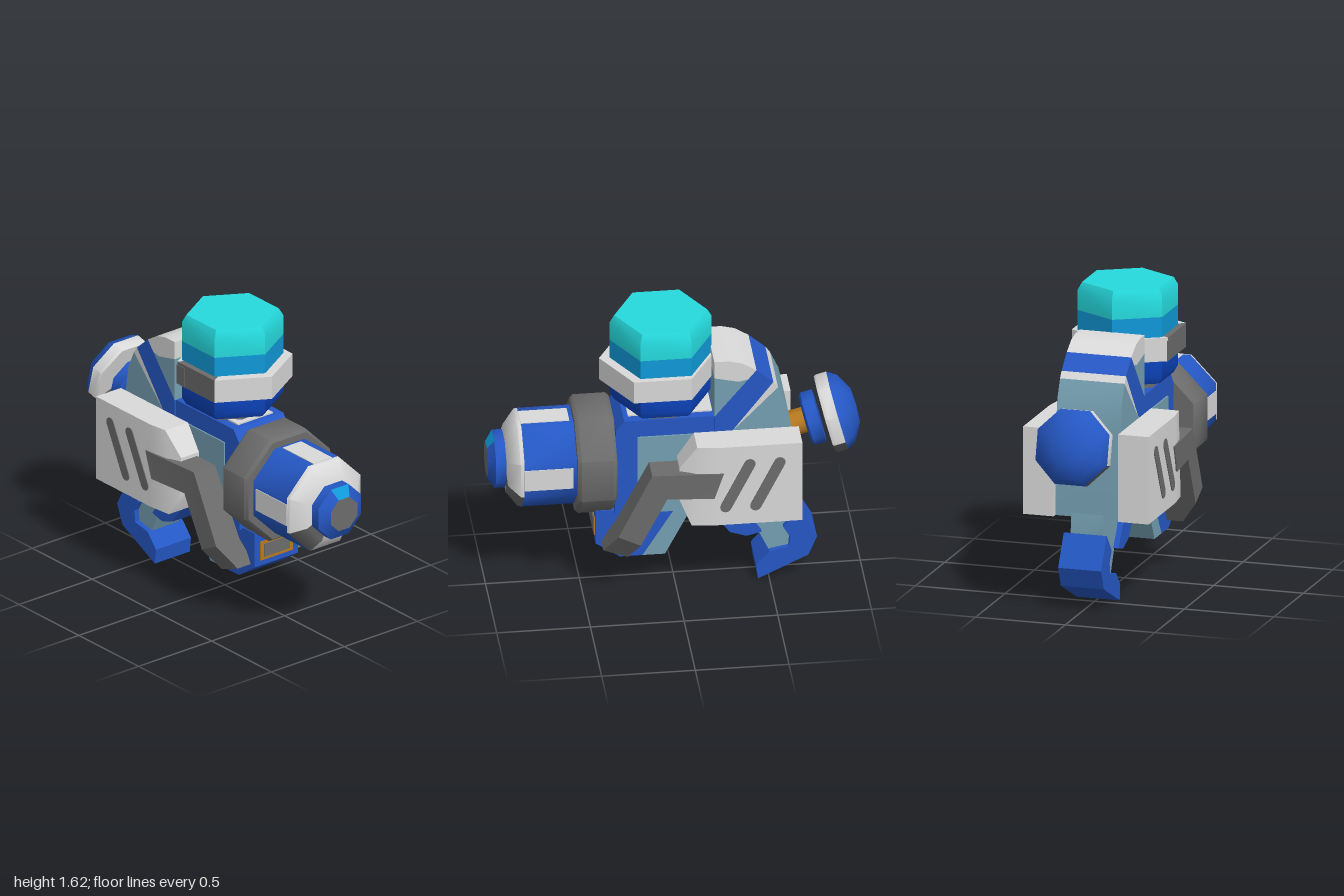
import * as THREE from 'three';
import { toCreasedNormals } from 'three/addons/utils/BufferGeometryUtils.js';

const mat = (name, color) => {
  const m = new THREE.MeshStandardMaterial({ color });
  m.name = name;
  return m;
};

export function createModel() {
  const root = new THREE.Group();
  root.name = 'blaster';
  const blue = mat('blue', 0x2558c6), royal = mat('royal blue', 0x0d45c0);
  const steel = mat('steel blue', 0x75a0b2), white = mat('white', 0xdadada);
  const gray = mat('dark gray', 0x6c6c6c), cyan = mat('cyan', 0x25dadd);
  const azure = mat('azure', 0x109ada), orange = mat('orange', 0xb87a20);

  const add = (name, geo, material, crease = 0.6) => {
    const mesh = new THREE.Mesh(toCreasedNormals(geo, crease), material);
    mesh.name = name;
    root.add(mesh);
    return mesh;
  };

  // Side outline (x, y) given depth from z0 to z1
  const slab = (name, material, pts, z0, z1) => {
    const shape = new THREE.Shape(pts.map(p => new THREE.Vector2(...p)));
    const geo = new THREE.ExtrudeGeometry(shape, { depth: z1 - z0, bevelEnabled: false });
    return add(name, geo.translate(0, 0, z0), material, 0.5);
  };

  const box = (name, material, w, h, d, x, y, z) =>
    add(name, new THREE.BoxGeometry(w, h, d).translate(x, y, z), material);

  // Prism turned about an axis; profile is [apothem, distance along axis];
  // "from" and "count" choose the facets
  const turned = (name, material, profile, sides, tilt, pos, from = 0, count = sides) => {
    const step = Math.PI * 2 / sides, k = 1 / Math.cos(step / 2);
    const pts = profile.map(([r, y]) => new THREE.Vector2(r * k, y));
    const geo = new THREE.LatheGeometry(pts, count, step * (from + 0.5), step * count);
    return add(name, geo.rotateZ(tilt).translate(...pos), material, 0.8);
  };

  // Four-sided loft; each section is [topX, topY, bottomX, bottomY, inner z, outer z]
  const loft = (name, material, sections, side) => {
    const pos = [], index = [];
    for (const [tx, ty, bx, by, zi, zo] of sections)
      pos.push(tx, ty, zi * side, tx, ty, zo * side, bx, by, zo * side, bx, by, zi * side);
    const quad = (a, b, c, d) =>
      side > 0 ? index.push(a, b, c, a, c, d) : index.push(a, c, b, a, d, c);
    const last = (sections.length - 1) * 4;
    for (let o = 0; o < last; o += 4)
      for (let j = 0; j < 4; j++) {
        const n = (j + 1) % 4;
        quad(o + j, o + n, o + 4 + n, o + 4 + j);
      }
    quad(0, 3, 2, 1);
    quad(last, last + 1, last + 2, last + 3);
    const geo = new THREE.BufferGeometry();
    geo.setAttribute('position', new THREE.Float32BufferAttribute(pos, 3));
    geo.setIndex(index);
    add(name, geo, material, 0.5);
  };

  // Rear hump, built from coloured slices
  const H = 0.18;
  slab('humpRear', steel, [[-0.62, 0.49], [-0.2, 0.49], [-0.2, 0.96], [-0.29, 0.96], [-0.54, 1.22],
    [-0.585, 1.12], [-0.61, 0.97]], -H, H);
  slab('humpTrim', white, [[-0.54, 1.22], [-0.29, 0.96], [-0.515, 1.255]], -H, H);
  slab('humpStripe', blue, [[-0.515, 1.255], [-0.29, 0.96], [-0.2, 0.96], [-0.2, 1.06],
    [-0.425, 1.335]], -H, H);
  slab('humpTop', white, [[-0.425, 1.335], [-0.38, 1.28], [-0.33, 1.27], [-0.2, 1.3], [-0.2, 1.4],
    [-0.28, 1.4], [-0.35, 1.382]], -H, H);
  slab('humpInset', steel, [[-0.38, 1.28], [-0.2, 1.06], [-0.2, 1.3], [-0.33, 1.27]], -H, H);

  // Main body with side panels and top plate
  slab('body', blue, [[-0.2, 0.49], [0.33, 0.49], [0.325, 1.0], [0.28, 1.06], [-0.2, 1.06]], -0.17, 0.17);
  for (const s of [1, -1]) box('bodyPanel', steel, 0.41, 0.47, 0.008, 0.005, 0.725, s * 0.174);
  box('topPlate', white, 0.45, 0.008, 0.24, 0.03, 1.064, 0);

  // Front grip with framed panel
  slab('gripRear', steel, [[-0.09, 0.5], [0.06, 0.21], [0.18, 0.21], [0.0, 0.5]], -0.15, 0.15);
  slab('grip', blue, [[0.0, 0.5], [0.18, 0.21], [0.3, 0.21], [0.43, 0.3], [0.43, 0.5]], -0.15, 0.15);
  box('gripFrame', orange, 0.006, 0.11, 0.22, 0.431, 0.385, 0);
  box('gripPlate', gray, 0.006, 0.075, 0.175, 0.434, 0.385, 0);

  // Underside block, rear leg and foot
  slab('underBlock', blue, [[-0.3, 0.52], [-0.46, 0.29], [-0.38, 0.27], [-0.29, 0.3], [-0.2, 0.42],
    [-0.2, 0.52]], -0.12, 0.12);
  slab('rearLeg', steel, [[-0.62, 0.51], [-0.65, 0.3], [-0.61, 0.18], [-0.5, 0.16], [-0.34, 0.51]], -0.09, 0.09);
  slab('foot', blue, [[-0.66, 0.41], [-0.755, 0.24], [-0.71, 0.13], [-0.44, 0], [-0.43, 0.085],
    [-0.5, 0.165], [-0.605, 0.185], [-0.61, 0.25], [-0.575, 0.31]], -0.12, 0.12);

  // Side boxes with slots, and bent arms
  for (const s of [1, -1]) {
    loft('sideBox', white, [
      [-0.65, 0.97, -0.65, 0.49, 0.18, 0.35],
      [-0.2, 0.97, -0.2, 0.49, 0.18, 0.35],
      [-0.09, 0.97, -0.06, 0.49, 0.18, 0.335],
      [0, 0.83, 0, 0.63, 0.17, 0.3],
    ], s);
    for (const x of [-0.465, -0.305]) {
      const slot = new THREE.Shape();
      slot.absarc(0, 0.145, 0.03, 0, Math.PI);
      slot.absarc(0, -0.145, 0.03, Math.PI, Math.PI * 2);
      const geo = new THREE.ExtrudeGeometry(slot, { depth: 0.008, bevelEnabled: false, curveSegments: 4 });
      add('slot', geo.rotateZ(0.46).translate(x, 0.73, s * 0.35 - 0.004), gray);
    }
    loft('arm', gray, [
      [-0.23, 0.81, -0.18, 0.66, 0.19, 0.357],
      [0.15, 0.81, 0.07, 0.66, 0.19, 0.335],
      [0.33, 0.44, 0.21, 0.38, 0.17, 0.33],
      [0.4, 0.31, 0.27, 0.26, 0.13, 0.24],
    ], s);
  }

  // Barrel along +x
  const F = -Math.PI / 2, axis = [0, 0.775, 0];
  turned('collar', gray, [[0, 0.33], [0.28, 0.33], [0.295, 0.35], [0.295, 0.52], [0.28, 0.54], [0, 0.54]], 8, F, axis);
  turned('barrel', blue, [[0.245, 0.53], [0.245, 0.82]], 8, F, axis);
  const cap = [[0.245, 0.82], [0.242, 0.84], [0.17, 0.9], [0, 0.9]];
  turned('barrelCap', white, cap, 8, F, axis, 3, 5);
  turned('barrelCapBottom', white, cap, 8, F, axis, 1, 1);
  for (const k of [0, 2]) turned('barrelCapPatch', gray, cap, 8, F, axis, k, 1);
  for (let i = 0; i < 4; i++) {
    const geo = new THREE.BoxGeometry(0.26, 0.008, 0.125).translate(0.69, 0.245, 0);
    add('barrelStripe', geo.rotateX(i * Math.PI / 2).translate(...axis), white);
  }
  turned('nozzle', blue, [[0, 0.89], [0.145, 0.905], [0.145, 0.96]], 8, F, axis);
  const tip = [[0.145, 0.96], [0.09, 0.998]];
  turned('nozzleTip', blue, tip, 8, F, axis, 6, 7);
  turned('nozzleGlow', azure, tip, 8, F, axis, 5, 1);
  turned('muzzle', gray, [[0.09, 0.998], [0, 0.998]], 8, F, axis);

  // Canister on top
  const up = [0.065, 0, 0];
  turned('neck', gray, [[0.16, 1.04], [0.16, 1.11]], 8, 0, up);
  const hex = (name, m, profile, c = up, from = 0, count = 6) =>
    turned(name, m, profile, 6, 0, c, from + 1, count);
  const R = 0.236;
  hex('canisterBase', royal, [[0, 1.1], [0.215, 1.1], [R, 1.14], [R, 1.24]]);
  hex('canisterMiddle', azure, [[R, 1.35], [R, 1.47]]);
  hex('canisterTop', cyan, [[R, 1.47], [R, 1.58], [0.215, 1.622], [0, 1.622]]);
  const band = [[0.2, 1.23], [0.268, 1.23], [0.268, 1.36], [0.2, 1.36]], bandAt = [0.085, 0, 0];
  hex('canisterBand', white, band, bandAt, 0, 4);
  hex('canisterBandSide', gray, band, bandAt, 4, 1).name = 'canisterBandPatch';
  hex('canisterBandFront', white, band, bandAt, 5, 1);
  box('bandPatch', gray, 0.07, 0.11, 0.006, -0.04, 1.288, 0.268);

  // Tilted rear plunger
  const T = 1.318, knob = [-0.81, 0.925, 0];
  turned('plungerRod', orange, [[0.065, -0.24], [0.065, -0.04]], 8, T, knob);
  turned('plungerCollar', blue, [[0, -0.108], [0.12, -0.108], [0.135, -0.095], [0.135, -0.03], [0, -0.03]], 8, T, knob);
  const disc = [[0, 0], [0.195, 0], [0.2, 0.015], [0.2, 0.07]];
  turned('plungerDisc', white, disc, 8, T, knob, 7, 5);
  turned('plungerDiscBottom', gray, disc, 8, T, knob, 4, 3);
  turned('plungerKnob', blue, [[0.2, 0.07], [0.17, 0.12], [0.09, 0.168], [0, 0.175]], 8, T, knob);

  return root;
}
